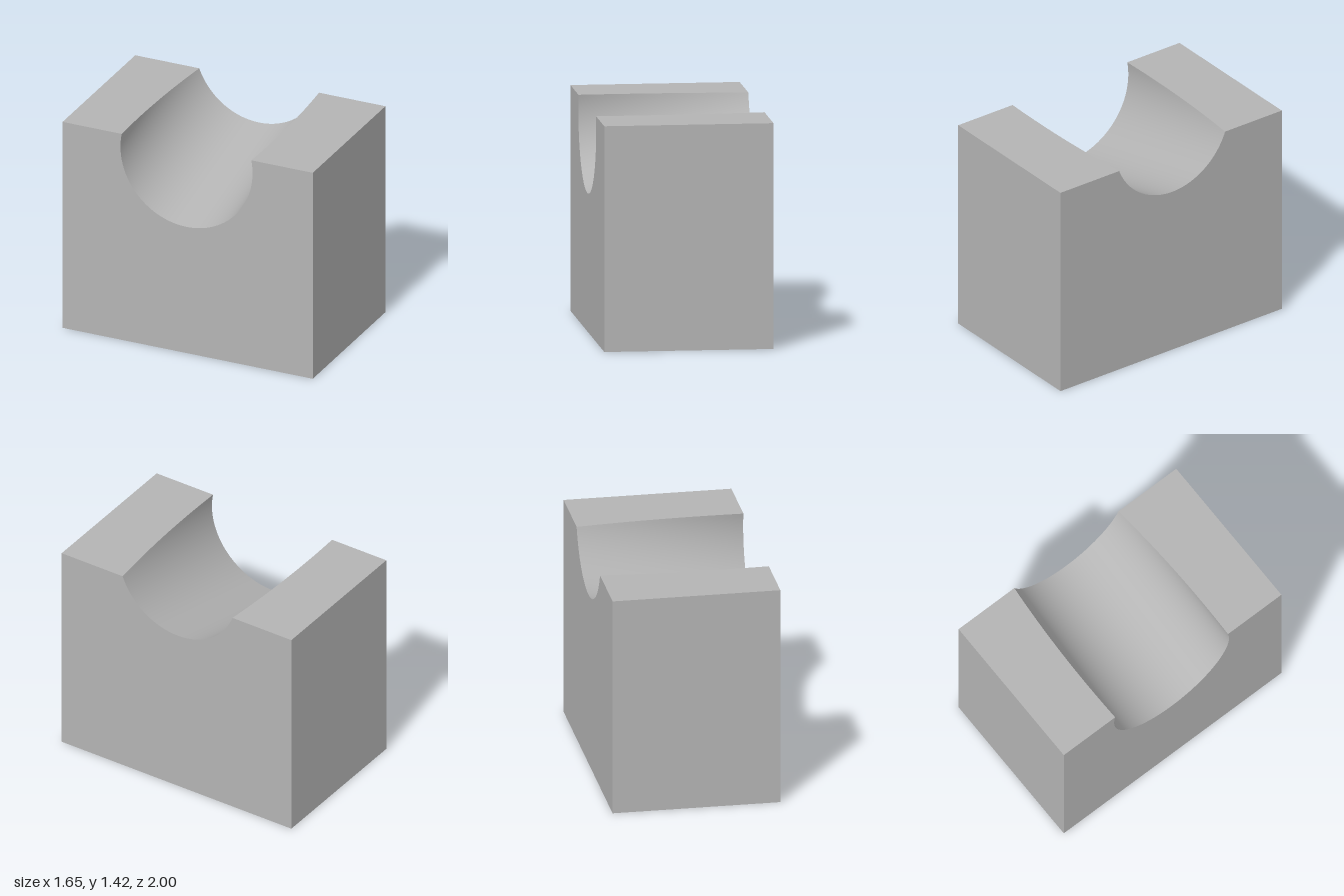
import * as THREE from 'three';

const U = 0.53, V = 0.86, H = 1.42; // half length, half width, height

// Groove cross-section (an ellipse below the top face) at position u along the block
function groove(u) {
  const t = (u + U) / (2 * U), mix = THREE.MathUtils.lerp;
  const a = mix(0.454, 0.441, t), b = mix(0.462, 0.453, t);
  const cy = mix(0.87, 1.13, t) + b, cv = -0.008;
  const end = Math.acos((cy - H) / b); // angle from the bottom to the rim
  // s = 0 is the front rim, s = 1 the back rim
  return s => {
    const q = end * (1 - 2 * s);
    return [cv + a * Math.sin(q), cy - b * Math.cos(q)];
  };
}

// Grid whose points follow the rule fn(a, b) -> [x, y, z]
function sheet(na, nb, fn) {
  const g = new THREE.PlaneGeometry(1, 1, na, nb), p = g.attributes.position;
  for (let i = 0; i < p.count; i++) p.setXYZ(i, ...fn(p.getX(i) + 0.5, p.getY(i) + 0.5));
  g.computeVertexNormals();
  return g;
}

export function createModel() {
  const model = new THREE.Group();
  const block = new THREE.Group();
  block.name = 'groovedBlock';
  block.rotation.y = 0.402;
  model.add(block);
  const grey = new THREE.MeshStandardMaterial({ color: 0xb4b4b4 });
  grey.name = 'grey';
  const add = (name, geometry) => {
    const mesh = new THREE.Mesh(geometry, grey);
    mesh.name = name;
    block.add(mesh);
  };
  const along = a => U * (2 * a - 1);

  // Sloping rounded channel
  add('groove', sheet(32, 64, (a, b) => {
    const u = along(a), [v, y] = groove(u)(b);
    return [u, y, v];
  }));

  // Flat top either side of the channel
  add('frontTop', sheet(32, 1, (a, b) => {
    const u = along(a);
    return [u, H, THREE.MathUtils.lerp(V, groove(u)(0)[0], b)];
  }));
  add('backTop', sheet(32, 1, (a, b) => {
    const u = along(a);
    return [u, H, THREE.MathUtils.lerp(groove(u)(1)[0], -V, b)];
  }));

  // End walls with the channel cut out
  for (const side of [-1, 1]) {
    const cut = groove(side * U), points = [[V, 0], [V, H]];
    for (let i = 0; i <= 64; i++) points.push(cut(i / 64));
    points.push([-V, H], [-V, 0]);
    const shape = new THREE.Shape(points.map(([v, y]) => new THREE.Vector2(-side * v, y)));
    add(side > 0 ? 'leftWall' : 'rightWall',
      new THREE.ShapeGeometry(shape).rotateY(side * Math.PI / 2).translate(side * U, 0, 0));
  }

  // Front and back walls and the base
  const wall = () => new THREE.PlaneGeometry(2 * U, H).translate(0, H / 2, V);
  add('frontWall', wall());
  add('backWall', wall().rotateY(Math.PI));
  add('base', new THREE.PlaneGeometry(2 * U, 2 * V).rotateX(Math.PI / 2));
  return model;
}
